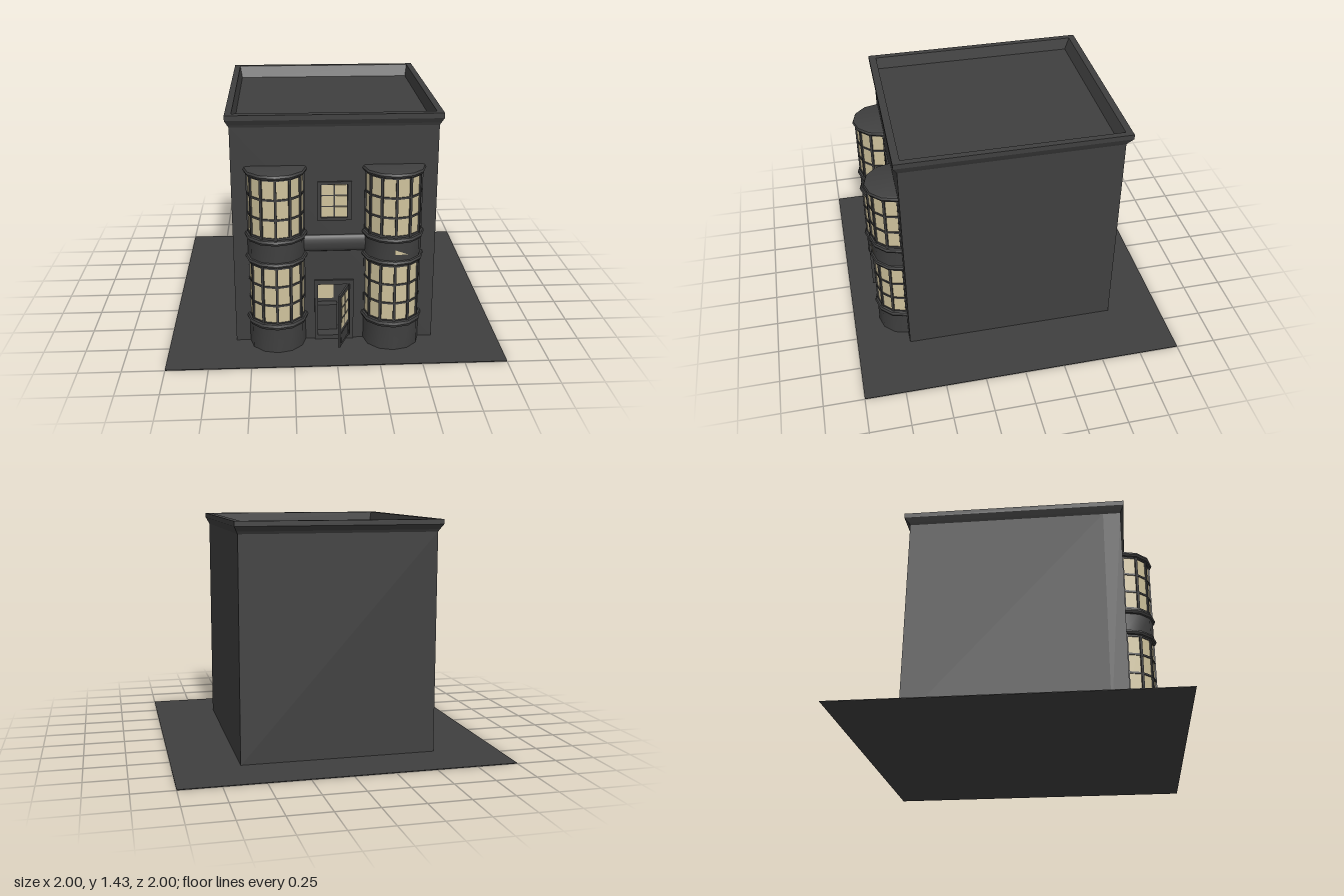
import * as THREE from 'three';
import { toCreasedNormals } from 'three/addons/utils/BufferGeometryUtils.js';

const stone = new THREE.MeshStandardMaterial({ color: 0x3f3f3f });
stone.name = 'dark stone';
const glow = new THREE.MeshStandardMaterial({ color: 0xcfc29c, side: THREE.DoubleSide });
glow.name = 'lit window cream';

function add(parent, name, geometry, material, x = 0, y = 0, z = 0) {
  const mesh = new THREE.Mesh(geometry, material);
  mesh.name = name;
  mesh.position.set(x, y, z);
  parent.add(mesh);
  return mesh;
}

// Box given by its limits
function block(parent, name, material, x0, x1, y0, y1, z0, z1) {
  return add(parent, name, new THREE.BoxGeometry(x1 - x0, y1 - y0, z1 - z0), material,
    (x0 + x1) / 2, (y0 + y1) / 2, (z0 + z1) / 2);
}

function rectangle(Type, x0, x1, y0, y1) {
  return new Type([[x0, y0], [x1, y0], [x1, y1], [x0, y1]].map(p => new THREE.Vector2(...p)));
}

// Upright slab with one rectangular opening
function slab(outer, hole, depth) {
  const shape = rectangle(THREE.Shape, ...outer);
  shape.holes.push(rectangle(THREE.Path, ...hole));
  return new THREE.ExtrudeGeometry(shape, { depth, bevelEnabled: false });
}

// Rectangular rings [halfWidth, front, back, y] joined by flat faces
function ringedFrame(rings) {
  const corners = rings.map(([w, f, b, y]) => [[w, y, f], [w, y, b], [-w, y, b], [-w, y, f]]);
  const pos = [];
  for (let i = 0; i < rings.length - 1; i++) {
    for (let j = 0; j < 4; j++) {
      const k = (j + 1) % 4;
      const [a, b, c, d] = [corners[i][j], corners[i][k], corners[i + 1][k], corners[i + 1][j]];
      pos.push(...a, ...b, ...c, ...a, ...c, ...d);
    }
  }
  const g = new THREE.BufferGeometry();
  g.setAttribute('position', new THREE.Float32BufferAttribute(pos, 3));
  g.computeVertexNormals();
  return g;
}

// Half drum facing the front, six facets
function halfDrum(r, h, crease) {
  return toCreasedNormals(new THREE.CylinderGeometry(r, r, h, 6, 1, false, -Math.PI / 2, Math.PI), crease);
}

// Rounded half-round ledge
function ledge(r, h) {
  const pts = [[0, 0], [r - 0.02, 0], [r - 0.006, h * 0.15], [r, h * 0.5], [r - 0.006, h * 0.85], [r - 0.02, h], [0, h]];
  const g = new THREE.LatheGeometry(pts.map(p => new THREE.Vector2(...p)), 6, -Math.PI / 2, Math.PI);
  return toCreasedNormals(g, 0.7);
}

function bayWindow(x) {
  const bay = new THREE.Group();
  bay.name = 'bayWindow';
  bay.position.set(x, 0, 0.667);
  const R = 0.169, G = 0.162;
  // Solid drums
  for (const [y0, y1] of [[0, 0.17], [0.57, 0.71]]) {
    add(bay, 'bayWall', halfDrum(R, y1 - y0, 0.6), stone, 0, (y0 + y1) / 2);
  }
  // Glazed storeys with glazing bars
  for (const y0 of [0.185, 0.725]) {
    const h = 0.375;
    add(bay, 'bayGlass', halfDrum(G, h, 0.1), glow, 0, y0 + h / 2);
    for (let i = 0; i <= 6; i++) {
      const a = -Math.PI / 2 + i * Math.PI / 6;
      const bar = add(bay, 'verticalBar', new THREE.BoxGeometry(0.015, h, 0.015), stone,
        Math.sin(a) * G, y0 + h / 2, Math.cos(a) * G);
      bar.rotation.y = a;
    }
    for (const y of [0.01, 0.125, 0.245, 0.365]) {
      add(bay, 'horizontalBar', halfDrum(G + 0.006, 0.012, 0.1), stone, 0, y0 + y);
    }
  }
  // Ledges
  for (const [y, h] of [[0.152, 0.044], [0.552, 0.036], [0.692, 0.038], [1.088, 0.037]]) {
    add(bay, 'bayLedge', ledge(0.184, h), stone, 0, y);
  }
  return bay;
}

// Grid of thin panes
function panes(parent, x0, x1, y0, y1, cols, rows, gap, z, thick) {
  const w = (x1 - x0) / cols, h = (y1 - y0) / rows;
  for (let i = 0; i < cols; i++) {
    for (let j = 0; j < rows; j++) {
      add(parent, 'pane', new THREE.BoxGeometry(w - gap, h - gap, thick), glow,
        x0 + (i + 0.5) * w, y0 + (j + 0.5) * h, z);
    }
  }
}

export function createModel() {
  const model = new THREE.Group();
  model.name = 'townhouse';

  block(model, 'ground', stone, -1, 1, 0, 0.004, -1, 1);

  // Main body, with a front wall pierced by the doorway
  block(model, 'body', stone, -0.6, 0.6, 0, 1.356, -0.667, 0.56);
  const doorway = [-0.1, 0.092, 0.03, 0.372];
  add(model, 'frontWall', slab([-0.6, 0.6, 0, 1.356], doorway, 0.107), stone, 0, 0, 0.56);

  // Flared cornice and parapet
  add(model, 'cornice', ringedFrame([
    [0.6, 0.667, -0.667, 1.355], [0.608, 0.673, -0.676, 1.37], [0.623, 0.69, -0.703, 1.4],
    [0.623, 0.69, -0.703, 1.43], [0.585, 0.645, -0.662, 1.43], [0.572, 0.64, -0.632, 1.355],
  ]), stone);

  // Bays on both sides and the beam between them
  for (const side of [-1, 1]) model.add(bayWindow(side * 0.345));
  const beam = add(model, 'beam', new THREE.CylinderGeometry(0.052, 0.052, 0.38, 12), stone, 0, 0.64, 0.667);
  beam.rotation.z = Math.PI / 2;
  beam.scale.z = 0.4;

  // Small pale chip on the left bay
  const chip = new THREE.BufferGeometry();
  chip.setAttribute('position', new THREE.Float32BufferAttribute(
    [0.34, 0.658, 0.842, 0.34, 0.628, 0.842, 0.42, 0.622, 0.822], 3));
  chip.computeVertexNormals();
  add(model, 'paleChip', chip, glow);

  // Small upper window
  add(model, 'windowFrame', slab([-0.1, 0.1, 0.785, 1.025], [-0.08, 0.076, 0.803, 1.008], 0.01), stone, 0, 0, 0.667);
  panes(model, -0.08, 0.076, 0.803, 1.008, 2, 3, 0.008, 0.668, 0.006);

  // Door frame and what is seen inside
  add(model, 'doorFrame', slab([-0.12, 0.115, 0.004, 0.4], doorway, 0.014), stone, 0, 0, 0.667);
  block(model, 'insideLight', glow, -0.095, 0.0, 0.225, 0.37, 0.559, 0.565);
  block(model, 'insideCounter', stone, -0.1, 0.02, 0.03, 0.2, 0.559, 0.61);

  // Open door, hinged on its left edge
  const door = new THREE.Group();
  door.name = 'door';
  door.position.set(0.083, 0, 0.672);
  door.rotation.y = -1.94;
  block(door, 'doorLeaf', stone, 0, 0.18, 0.03, 0.37, -0.006, 0.006);
  panes(door, 0.02, 0.16, 0.14, 0.355, 2, 3, 0.014, 0.005, 0.006);
  panes(door, 0.02, 0.16, 0.14, 0.355, 2, 3, 0.014, -0.005, 0.006);
  for (const z of [-0.007, 0.007]) {
    block(door, 'doorPanel', stone, 0.025, 0.155, 0.05, 0.12, z - 0.002, z + 0.002);
  }
  model.add(door);

  return model;
}
